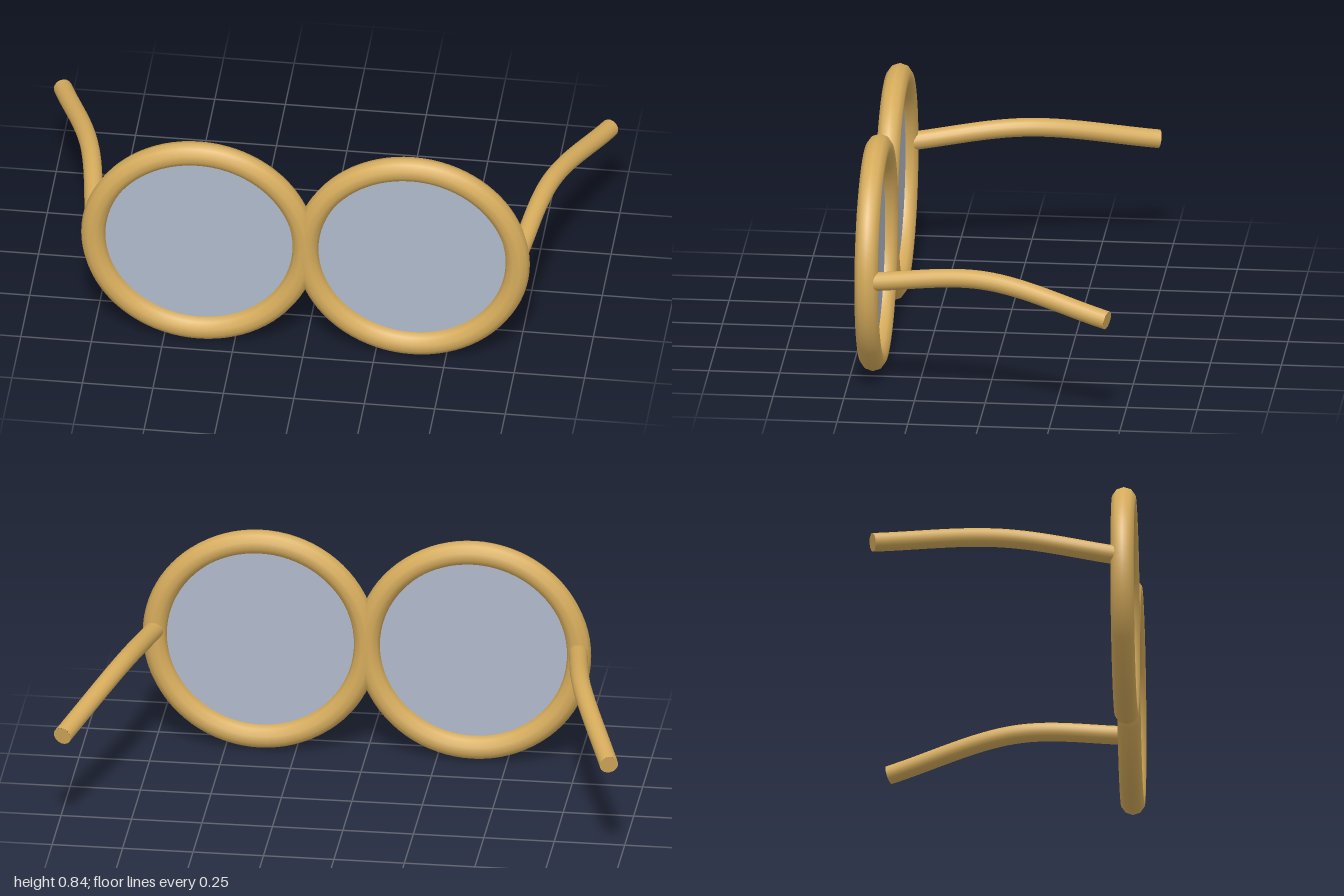
import * as THREE from 'three';

const RING_X = 0.378, RING_Y = 0.42, FRONT_Z = 0.42;
const RING_R = 0.375, TUBE_R = 0.043, ARM_R = 0.033;

export function createModel() {
  const gold = new THREE.MeshStandardMaterial({ color: 0xd6ac5c });
  gold.name = 'gold frame';
  const glass = new THREE.MeshStandardMaterial({ color: 0xafb9ca, side: THREE.DoubleSide });
  glass.name = 'blue grey lens';

  const model = new THREE.Group();
  model.name = 'glasses';
  const add = (name, geometry, material, parent) => {
    const mesh = new THREE.Mesh(geometry, material);
    mesh.name = name;
    parent.add(mesh);
    return mesh;
  };

  for (const [side, s] of [['left', 1], ['right', -1]]) {
    // Round rim and its flat lens
    const eye = new THREE.Group();
    eye.name = side + 'Eyepiece';
    eye.position.set(s * RING_X, RING_Y, FRONT_Z);
    add(side + 'Rim', new THREE.TorusGeometry(RING_R, TUBE_R, 10, 80), gold, eye);
    add(side + 'Lens', new THREE.CircleGeometry(RING_R, 64), glass, eye);
    model.add(eye);

    // Temple arm, arching back and outward from the rim
    const path = new THREE.CatmullRomCurve3([
      new THREE.Vector3(s * 0.75, 0.441, 0.41),
      new THREE.Vector3(s * 0.818, 0.483, 0),
      new THREE.Vector3(s * 0.97, 0.402, -0.452),
    ]);
    const arm = new THREE.Group();
    arm.name = side + 'Arm';
    add(side + 'ArmTube', new THREE.TubeGeometry(path, 32, ARM_R, 16, false), gold, arm);

    // Flat caps on both ends of the arm
    for (const [t, dir, end] of [[0, -1, 'Front'], [1, 1, 'Back']]) {
      const cap = add(side + 'Arm' + end + 'Cap', new THREE.CircleGeometry(ARM_R, 16), gold, arm);
      cap.position.copy(path.getPointAt(t));
      const outward = path.getTangentAt(t).multiplyScalar(dir);
      cap.quaternion.setFromUnitVectors(new THREE.Vector3(0, 0, 1), outward);
    }
    model.add(arm);
  }
  return model;
}
